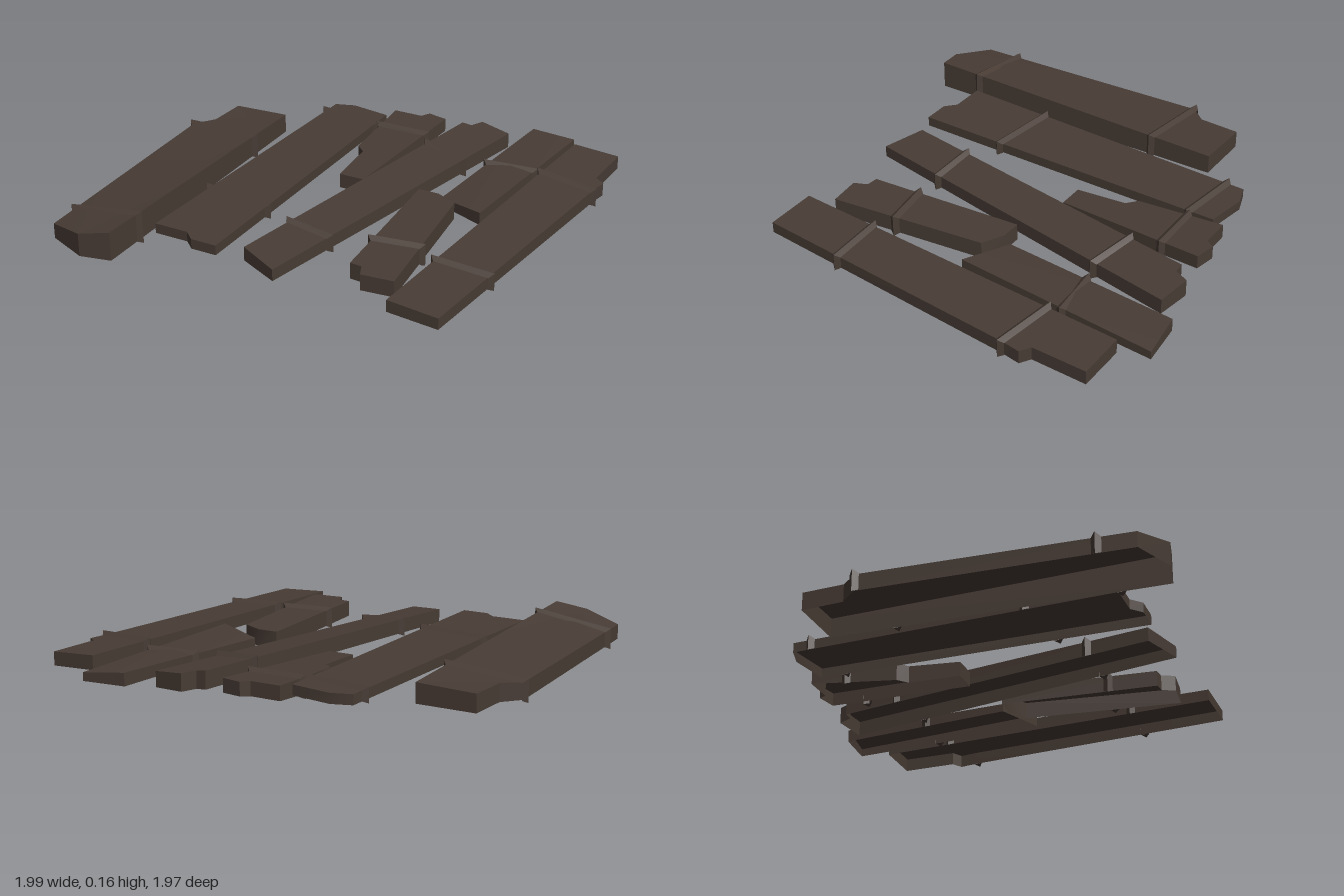
import * as THREE from 'three';
import { toCreasedNormals } from 'three/addons/utils/BufferGeometryUtils.js';

const wood = new THREE.MeshStandardMaterial({ color: 0x483c35, side: THREE.DoubleSide });
wood.name = 'dark wood';

function meshFrom(positions, crease, name) {
  const geometry = new THREE.BufferGeometry();
  geometry.setAttribute('position', new THREE.Float32BufferAttribute(positions, 3));
  const mesh = new THREE.Mesh(toCreasedNormals(geometry, crease), wood);
  mesh.name = name;
  return mesh;
}

// Board open underneath: an outline of [x, z] corners with top and bottom height rules
function board(outline, top, bottom) {
  const upper = outline.map(([x, z]) => [x, top(x, z), z]);
  const lower = outline.map(([x, z]) => [x, bottom(x, z), z]);
  const shape = outline.map(([x, z]) => new THREE.Vector2(x, z));
  const out = [];
  for (const [a, b, c] of THREE.ShapeUtils.triangulateShape(shape, [])) {
    out.push(...upper[a], ...upper[c], ...upper[b]);
  }
  outline.forEach((_, i) => {
    const j = (i + 1) % outline.length;
    out.push(...upper[i], ...upper[j], ...lower[j], ...upper[i], ...lower[j], ...lower[i]);
  });
  return meshFrom(out, 0.5, 'board');
}

// The board's edge at depth z, on its left (-1) or right (+1) in plan
function edgeAt(outline, z, side) {
  const hits = [];
  outline.forEach(([ax, az], i) => {
    const [bx, bz] = outline[(i + 1) % outline.length];
    if ((az - z) * (bz - z) <= 0) hits.push(ax + (bx - ax) * (z - az) / (bz - az));
  });
  return side < 0 ? Math.min(...hits) : Math.max(...hits);
}

// Pointed ridge running over the top and down both edges of a board
function strap(outline, top, bottom, zLeft, zRight) {
  const [a, b] = [[zLeft, -1], [zRight, 1]].map(([z, side]) =>
    new THREE.Vector3(edgeAt(outline, z, side), 0, z));
  const along = b.clone().sub(a).normalize();
  const across = new THREE.Vector3(-along.z, 0, along.x);
  const section = (p, outward, height, lift) => [-1, 0, 1].map((k) =>
    p.clone()
      .addScaledVector(along, outward * (k === 0 ? 0.021 : 0.002))
      .addScaledVector(across, k * 0.021)
      .setY(height(p.x, p.z) + (k === 0 ? lift : 0))
      .toArray());
  const rows = [
    section(a, -1, bottom, -0.01), section(a, -1, top, 0.016),
    section(b, 1, top, 0.016), section(b, 1, bottom, -0.01),
  ];
  const out = [];
  for (let i = 0; i < 3; i++) {
    for (let k = 0; k < 2; k++) {
      const p = rows[i][k], q = rows[i + 1][k], r = rows[i + 1][k + 1], s = rows[i][k + 1];
      out.push(...p, ...s, ...r, ...p, ...r, ...q);
    }
  }
  // closed lower ends
  out.push(...rows[0][0], ...rows[0][1], ...rows[0][2]);
  out.push(...rows[3][0], ...rows[3][2], ...rows[3][1]);
  return meshFrom(out, 0.4, 'strap');
}

function plank(name, outline, top, bottom, ...straps) {
  const group = new THREE.Group();
  group.name = name;
  group.add(board(outline, top, bottom));
  for (const [zLeft, zRight] of straps) group.add(strap(outline, top, bottom, zLeft, zRight));
  return group;
}

export function createModel() {
  const model = new THREE.Group();
  model.name = 'plankPile';

  // wide plank whose right side rises toward the front
  model.add(plank('wideTwistedPlank',
    [[-0.89, -0.52], [-0.62, -0.52], [-0.59, 0.95], [-0.73, 0.98], [-0.92, 0.9], [-0.97, -0.25], [-0.9, -0.33]],
    (x, z) => {
      const u = (x + 0.9) / 0.31, v = (z + 0.52) / 1.5;
      return 0.1 + u * (0.01 + 0.05 * v) - 0.008 * v;
    },
    () => 0.02,
    [-0.25, -0.22], [0.74, 0.74]));

  // level plank
  model.add(plank('flatPlank',
    [[-0.48, -0.77], [-0.39, -0.8], [-0.2, -0.77], [-0.2, 0.755], [-0.32, 0.755], [-0.37, 0.71], [-0.53, 0.71]],
    () => 0.1,
    () => 0.055,
    [-0.685, -0.65], [0.305, 0.345]));

  // short plank sinking toward the front
  model.add(plank('shortBackPlank',
    [[-0.18, -0.83], [-0.04, -0.83], [-0.015, -0.87], [0.08, -0.85], [0.01, -0.14], [-0.11, -0.14],
      [-0.12, -0.38], [-0.165, -0.42]],
    (x, z) => 0.063 - 0.052 * z,
    (x, z) => Math.max(0.003, -0.063 - 0.127 * z),
    [-0.66, -0.665]));

  // slanted plank tipped down to its right
  const tip = (x, z) => (x - 0.035 + 0.175 * z) / 0.2;
  model.add(plank('slantedPlank',
    [[0.18, -0.83], [0.225, -0.83], [0.255, -0.895], [0.405, -0.865], [0.09, 0.785], [-0.09, 0.71]],
    (x, z) => 0.109 - 0.022 * tip(x, z) - 0.011 * z,
    (x, z) => 0.038 - 0.012 * tip(x, z),
    [-0.55, -0.5], [0.42, 0.435]));

  // short plank at the front
  model.add(plank('shortFrontPlank',
    [[0.31, -0.1], [0.405, -0.1], [0.505, -0.05], [0.585, 0.675], [0.44, 0.69], [0.415, 0.63], [0.36, 0.625]],
    (x, z) => 0.11 - 0.007 * z,
    () => 0.033,
    [0.4, 0.37]));

  // plank creased along its diagonal
  model.add(plank('foldedPlank',
    [[0.49, -0.965], [0.69, -0.985], [0.63, -0.04], [0.405, -0.13]],
    (x, z) => 0.098 - 0.1 * Math.abs(x - 0.49 - 0.151 * (z + 0.965)),
    () => 0.04,
    [-0.535, -0.555]));

  // long plank sloping to the front right
  const lean = (x, z) => (x - 0.675 + 0.075 * z) / 0.23;
  model.add(plank('longPlank',
    [[0.74, -0.86], [0.955, -0.855], [0.945, -0.6], [0.99, -0.57], [0.975, -0.48], [0.845, 0.81], [0.615, 0.8]],
    (x, z) => 0.104 - 0.013 * lean(x, z) - 0.013 * z,
    (x, z) => 0.045 - 0.01 * lean(x, z) - 0.006 * z,
    [-0.52, -0.475], [0.42, 0.42]));

  return model;
}
